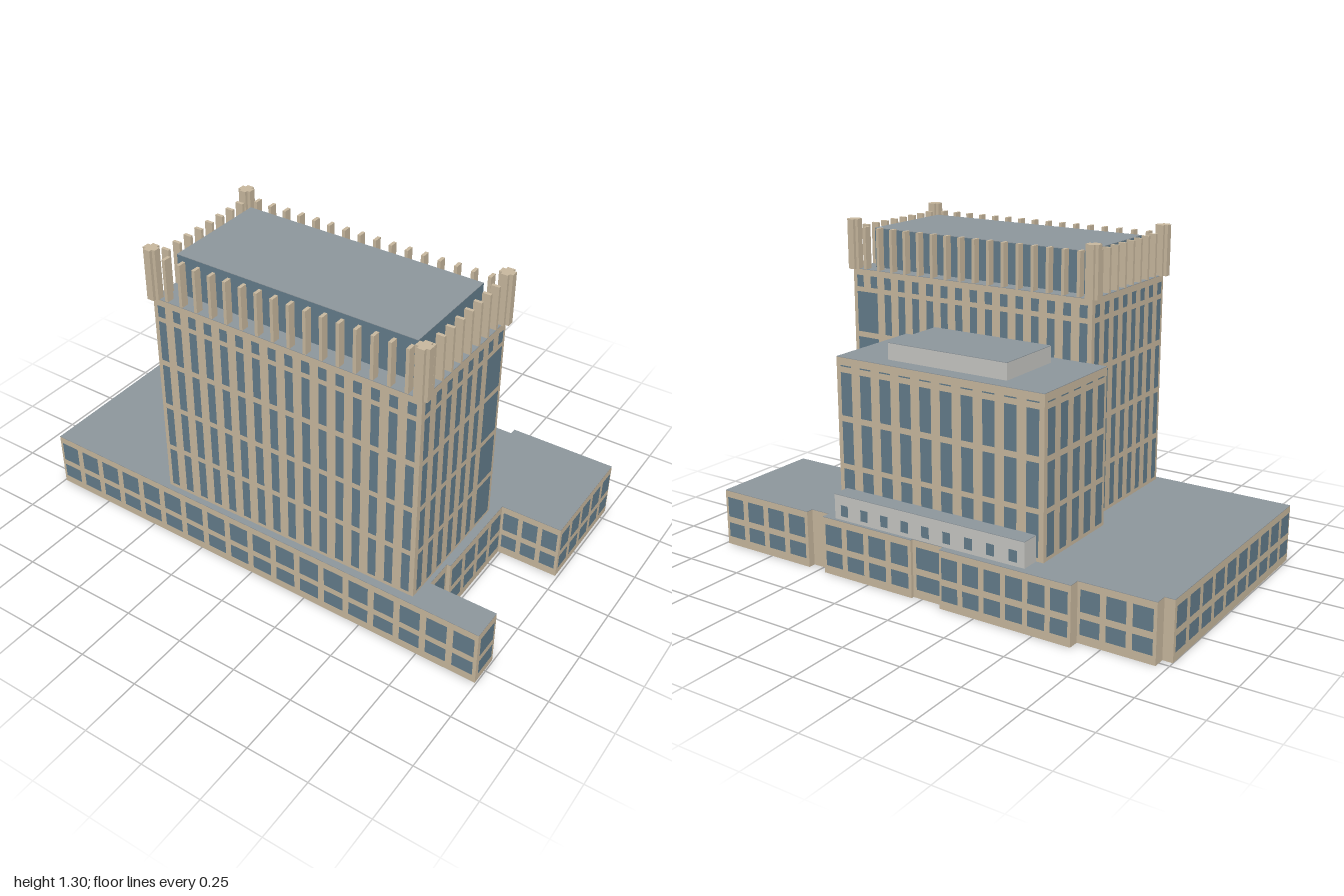
import * as THREE from 'three';
import { mergeGeometries } from 'three/addons/utils/BufferGeometryUtils.js';

const material = (name, color) => {
  const m = new THREE.MeshStandardMaterial({ color });
  m.name = name;
  return m;
};

export function createModel() {
  const model = new THREE.Group();
  model.name = 'officeBuilding';
  const stone = material('sandstone', 0xc9b99f);
  const glass = material('blueGlass', 0x647d8c);
  const roofing = material('roofGrey', 0x8e979d);
  const plaster = material('paleGrey', 0xc8c8c4);

  const add = (name, geometry, mat) => {
    const mesh = new THREE.Mesh(geometry, mat);
    mesh.name = name;
    model.add(mesh);
  };
  const boxGeo = (x0, x1, y0, y1, z0, z1) =>
    new THREE.BoxGeometry(x1 - x0, y1 - y0, z1 - z0)
      .translate((x0 + x1) / 2, (y0 + y1) / 2, (z0 + z1) / 2);

  // Box volume with a thin roof sheet on top
  const block = (name, x0, x1, y0, y1, z0, z1, mat) => {
    add(name, boxGeo(x0, x1, y0, y1, z0, z1), mat);
    add(name + 'Roof', boxGeo(x0, x1, y1, y1 + 0.002, z0, z1), roofing);
  };

  // Window pane on the wall a-b, between fractions u0 and u1 of its length
  const pane = (a, b, u0, u1, y0, y1) => {
    const dx = b[0] - a[0], dz = b[1] - a[1], len = Math.hypot(dx, dz);
    const nx = -dz / len, nz = dx / len, u = (u0 + u1) / 2;
    return new THREE.PlaneGeometry((u1 - u0) * len, y1 - y0)
      .rotateY(Math.atan2(nx, nz))
      .translate(a[0] + dx * u + nx * 0.002, (y0 + y1) / 2, a[1] + dz * u + nz * 0.002);
  };

  // Window grid; optional corner glazing joins two columns starting at `joined`
  const facade = (name, a, b, n, ratio, rows, joined = -1) => {
    const panes = [];
    rows.forEach(([y0, y1], r) => {
      const wide = joined >= 0 && r < 4;
      for (let c = 0; c < n; c++) {
        if (wide && (c === joined || c === joined + 1)) continue;
        panes.push(pane(a, b, (c + 0.5 - ratio / 2) / n, (c + 0.5 + ratio / 2) / n, y0, y1));
      }
      if (wide) {
        panes.push(pane(a, b, (joined + 0.5 - ratio / 2) / n, (joined + 1.5 + ratio / 2) / n, y0, y1));
      }
    });
    add(name, mergeGeometries(panes), glass);
  };

  // Four corners of a rectangle in wall order: front, right, back, left
  const corners = (x0, x1, z0, z1) => [[x0, z1], [x1, z1], [x1, z0], [x0, z0]];

  // Podium with its stepped outline
  const podiumTop = 0.232;
  const outline = [
    [-0.995, 0.553], [0.995, 0.57], [0.995, 0.44], [0.725, 0.44], [0.725, 0.32], [0.74, 0.32],
    [0.74, -0.083], [0.99, -0.083], [0.99, -0.55], [0.55, -0.55], [0.55, -0.52], [0.465, -0.52],
    [0.465, -0.555], [0.04, -0.555], [0.04, -0.543], [-0.1, -0.543], [-0.1, -0.57], [-0.655, -0.57],
    [-0.655, -0.525], [-0.96, -0.525], [-0.96, -0.475], [-1, -0.475],
  ];
  const plan = new THREE.Shape(outline.map(([x, z]) => new THREE.Vector2(x, -z)));
  const slab = (depth) =>
    new THREE.ExtrudeGeometry(plan, { depth, bevelEnabled: false }).rotateX(-Math.PI / 2);
  add('podium', slab(podiumTop), stone);
  add('podiumRoof', slab(0.002).translate(0, podiumTop, 0), roofing);
  outline.forEach((a, i) => {
    const b = outline[(i + 1) % outline.length];
    const len = Math.hypot(b[0] - a[0], b[1] - a[1]);
    if (len < 0.11) return;
    const n = i === 0 ? 18 : Math.max(1, Math.round(len / 0.1));
    facade('podiumWindows', a, b, n, 0.76, [[0.035, 0.096], [0.122, 0.206]]);
  });

  // Main tower
  const tx0 = -0.414, tx1 = 0.708, tz0 = -0.034, tz1 = 0.534, towerTop = 1.097;
  block('tower', tx0, tx1, podiumTop, towerTop, tz0, tz1, stone);
  const towerRows = [[0.25, 0.421], [0.443, 0.617], [0.639, 0.814], [0.837, 1.005], [1.025, 1.073]];
  const tower = corners(tx0, tx1, tz0, tz1);
  [[16, -1], [8, 6], [16, 0], [8, -1]].forEach(([n, joined], i) =>
    facade('towerWindows', tower[i], tower[(i + 1) % 4], n, 0.48, towerRows, joined));

  // Glazed top storey
  block('topStorey', -0.352, 0.642, towerTop, 1.259, 0.028, 0.46, glass);

  // Crown fins along the four roof edges
  const fins = [];
  const w = 0.0065, depth = 0.032, finTop = 1.27;
  for (let i = 0; i < 16; i++) {
    const x = -0.353 + i * 0.0667;
    fins.push(boxGeo(x - w, x + w, towerTop, finTop, tz1 - depth, tz1));
    fins.push(boxGeo(x - w, x + w, towerTop, finTop, tz0, tz0 + depth));
  }
  for (let i = 0; i < 8; i++) {
    const z = 0.035 + i * 0.0614;
    fins.push(boxGeo(tx0, tx0 + depth, towerTop, finTop, z - w, z + w));
    fins.push(boxGeo(tx1 - depth, tx1, towerTop, finTop, z - w, z + w));
  }
  add('crownFins', mergeGeometries(fins), stone);

  // Cross-shaped corner pillars
  const r = 0.027, t = 0.014;
  const cross = new THREE.Shape([
    [t, -r], [t, -t], [r, -t], [r, t], [t, t], [t, r],
    [-t, r], [-t, t], [-r, t], [-r, -t], [-t, -t], [-t, -r],
  ].map(([x, y]) => new THREE.Vector2(x, y)));
  for (const x of [-0.411, 0.703]) {
    for (const z of [-0.025, 0.526]) {
      add('cornerPillar', new THREE.ExtrudeGeometry(cross, { depth: 0.203, bevelEnabled: false })
        .rotateX(-Math.PI / 2).translate(x, towerTop, z), stone);
    }
  }

  // Rear annex
  const ax0 = -0.48, ax1 = 0.443, az0 = -0.466, annexTop = 0.855;
  block('annex', ax0, ax1, podiumTop, annexTop, az0, tz0, stone);
  const annexRows = [[0.25, 0.414], [0.435, 0.604], [0.628, 0.798], [0.821, 0.826]];
  const annex = corners(ax0, ax1, az0, tz0);
  facade('annexFrontWindow', annex[0], [tx0, tz0], 1, 0.72, annexRows);
  [10, 5, 10, 5].forEach((n, i) => {
    if (i > 0) facade('annexWindows', annex[i], annex[(i + 1) % 4], n, 0.56, annexRows);
  });

  // Rooftop plant room and low rear extension
  block('plantRoom', -0.283, 0.247, annexTop, 0.921, -0.4, -0.105, plaster);
  block('rearExtension', -0.45, 0.412, podiumTop, 0.333, -0.542, az0, plaster);
  facade('rearExtensionWindows', [0.412, -0.542], [-0.45, -0.542], 9, 0.36, [[0.25, 0.295]]);

  return model;
}
